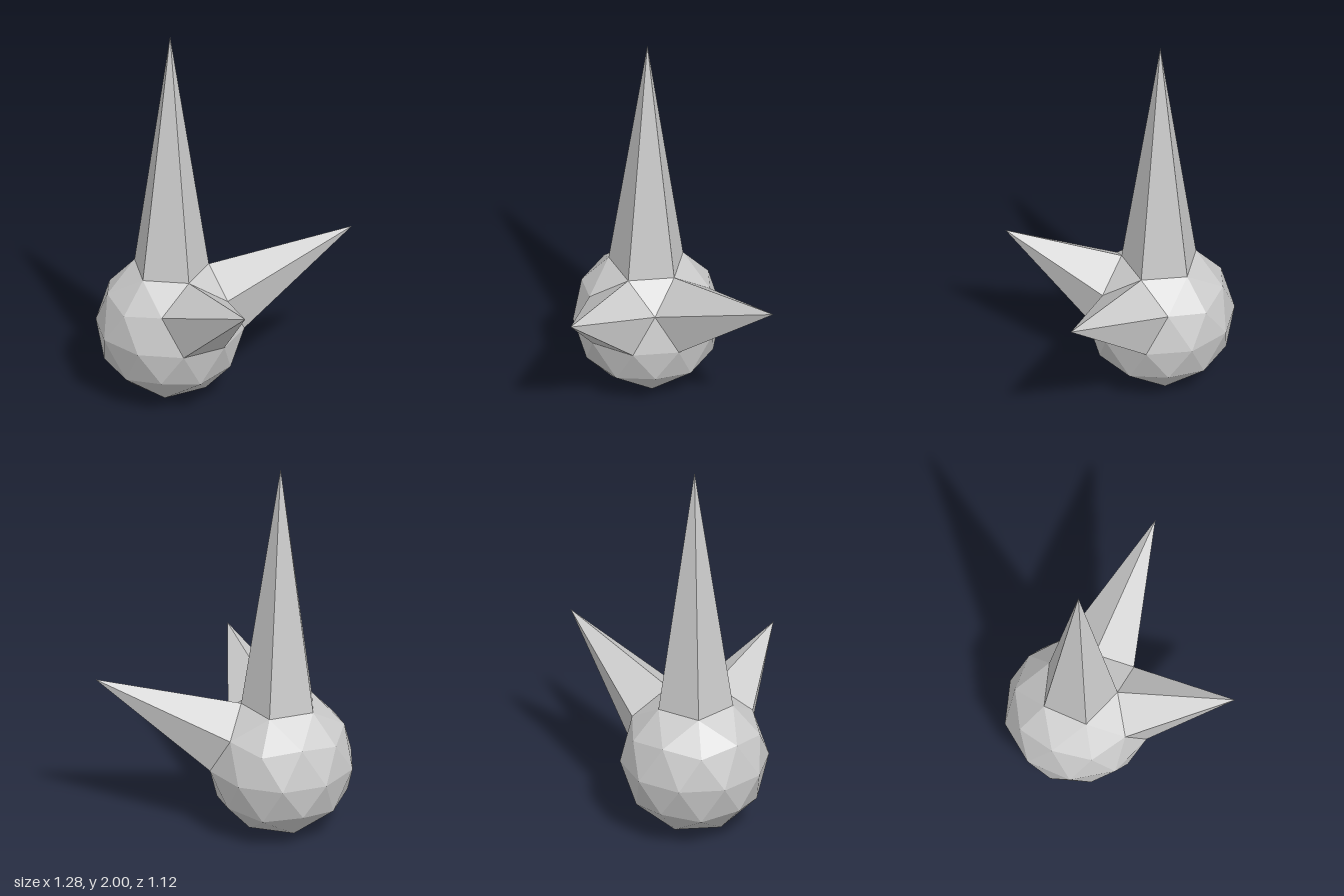
import * as THREE from 'three';

const RADIUS = 0.374;

// Corners of the ball pulled out into spikes: unit direction and length from the centre
const SPIKES = [
  { dir: new THREE.Vector3(0, 1, 0), length: 1.626 },
  { dir: new THREE.Vector3(0.8944, 0.4472, 0), length: 1.033 },
  { dir: new THREE.Vector3(0.2764, 0.4472, 0.8506), length: 0.88 },
];

export function createModel() {
  const group = new THREE.Group();
  group.name = 'spikedBall';

  // Once-subdivided icosahedron, turned so one corner points straight up
  // and one corner of the upper ring points to +x
  const geometry = new THREE.IcosahedronGeometry(1, 1);
  geometry.rotateX(-Math.atan((1 + Math.sqrt(5)) / 2));
  geometry.rotateY(Math.PI / 2);

  // Scale each vertex to the ball radius, or to the spike length at a spike corner
  const pos = geometry.attributes.position;
  const v = new THREE.Vector3();
  for (let i = 0; i < pos.count; i++) {
    v.fromBufferAttribute(pos, i).normalize();
    const spike = SPIKES.find((s) => s.dir.dot(v) > 0.99);
    v.multiplyScalar(spike ? spike.length : RADIUS);
    pos.setXYZ(i, v.x, v.y, v.z);
  }
  geometry.computeVertexNormals();

  const material = new THREE.MeshStandardMaterial({ color: 0xcccccc, flatShading: true });
  const ball = new THREE.Mesh(geometry, material);
  ball.name = 'ballWithSpikes';
  ball.position.set(-0.284, RADIUS, -0.188);
  group.add(ball);
  return group;
}
